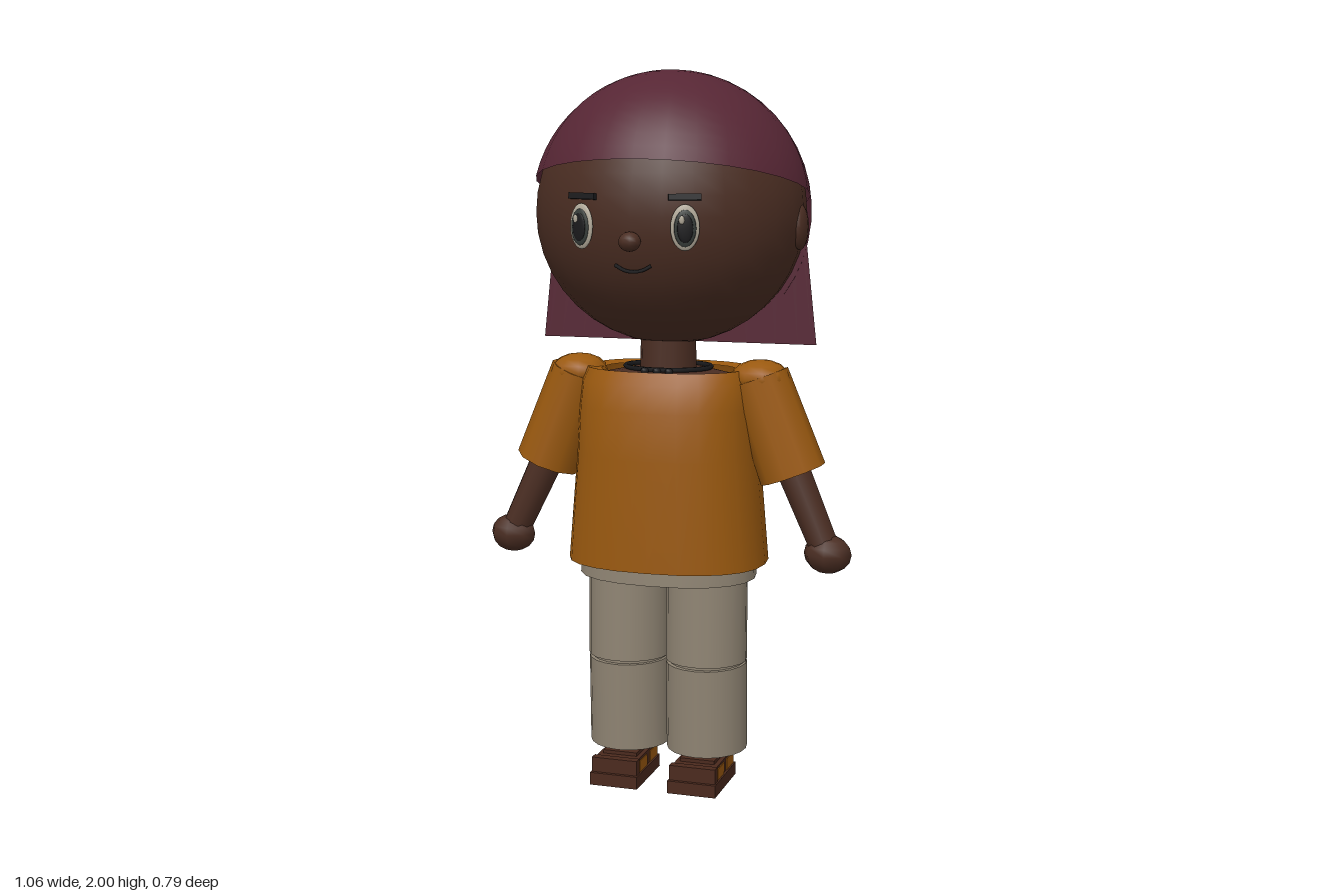
import * as THREE from 'three';
import { toCreasedNormals } from 'three/addons/utils/BufferGeometryUtils.js';

const mat = (name, color, side = THREE.FrontSide) =>
  Object.assign(new THREE.MeshStandardMaterial({ color, side }), { name });

// Rings are [y, radiusX, radiusZ, centreZ]; e squares the outline, maxZ cuts it flat.
function loft(rings, { n = 16, e = 2, maxZ = Infinity, bottom = true, top = true, crease = 0.7 } = {}) {
  const pos = [], idx = [];
  const power = (v) => Math.sign(v) * Math.abs(v) ** (2 / e);
  for (const [y, rx, rz, cz] of rings) {
    for (let j = 0; j < n; j++) {
      const a = (j / n) * Math.PI * 2;
      pos.push(rx * power(Math.cos(a)), y, Math.min(maxZ, cz + rz * power(Math.sin(a))));
    }
  }
  const last = (rings.length - 1) * n;
  const cap = (start, up) => {
    const [y, , , cz] = rings[start / n];
    const c = pos.length / 3;
    pos.push(0, y, Math.min(maxZ, cz));
    for (let j = 0; j < n; j++) {
      const a = start + j, b = start + (j + 1) % n;
      idx.push(c, up ? b : a, up ? a : b);
    }
  };
  for (let i = 0; i < last; i += n) {
    for (let j = 0; j < n; j++) {
      const a = i + j, b = i + (j + 1) % n;
      idx.push(a, a + n, b, b, a + n, b + n);
    }
  }
  if (bottom) cap(0, false);
  if (top) cap(last, true);
  const g = new THREE.BufferGeometry();
  g.setAttribute('position', new THREE.Float32BufferAttribute(pos, 3));
  g.setIndex(idx);
  return toCreasedNormals(g, crease);
}

export function createModel() {
  const model = new THREE.Group();
  const skin = mat('skin', 0x4a2d22);
  const hair = mat('hair', 0x562634, THREE.DoubleSide);
  const shirt = mat('shirt orange', 0x9a590f, THREE.DoubleSide);
  const trousers = mat('trouser beige', 0x8f8473);
  const leather = mat('sandal brown', 0x4a291d);
  const white = mat('eye white', 0xb0a898);
  const iris = mat('iris grey', 0x363c39);
  const black = mat('black', 0x1a1a1c);

  const add = (name, geometry, material, x = 0, y = 0, z = 0, parent = model) => {
    const m = new THREE.Mesh(geometry, material);
    m.name = name;
    m.position.set(x, y, z);
    parent.add(m);
    return m;
  };
  const ball = (rx, ry, rz, w = 16, h = 12) => new THREE.SphereGeometry(1, w, h).scale(rx, ry, rz);
  const box = (w, h, d) => new THREE.BoxGeometry(w, h, d);
  const limb = (name, from, to, r0, r1, sides, material) => {
    const a = new THREE.Vector3(...from), b = new THREE.Vector3(...to);
    const d = b.clone().sub(a);
    const m = add(name, new THREE.CylinderGeometry(r1, r0, d.length(), sides), material);
    m.position.copy(a).addScaledVector(d, 0.5);
    m.quaternion.setFromUnitVectors(new THREE.Vector3(0, 1, 0), d.normalize());
    return m;
  };

  // Head and hair
  add('head', ball(0.377, 0.363, 0.35, 28, 20), skin, 0, 1.613, 0.01);
  add('nose', ball(0.031, 0.026, 0.03, 10, 8), skin, 0, 1.55, 0.365);
  const cap = new THREE.SphereGeometry(1, 28, 14, 0, Math.PI * 2, 0, 1.405);
  add('hairCap', cap.rotateX(-0.226).scale(0.388, 0.385, 0.366), hair, 0, 1.615, 0.008);
  const shell = new THREE.SphereGeometry(1, 14, 16, Math.PI + 0.1, Math.PI - 0.2, 0, 2.2);
  add('hairBack', shell.scale(0.389, 0.385, 0.358), hair, 0, 1.615, 0);
  add('hairCurtain', loft([[1.25, 0.402, 0.395, 0], [1.775, 0.345, 0.338, 0]],
    { n: 24, maxZ: -0.05 }), hair);

  // Mouth
  const smile = new THREE.CatmullRomCurve3([[-0.05, 1.487, 0.336], [-0.025, 1.474, 0.337],
    [0, 1.47, 0.337], [0.025, 1.474, 0.337], [0.05, 1.487, 0.336]].map((p) => new THREE.Vector3(...p)));
  add('mouth', new THREE.TubeGeometry(smile, 12, 0.005, 6), black);

  // Neck, chest and necklace
  add('neck', new THREE.CylinderGeometry(0.075, 0.08, 0.16, 14), skin, 0, 1.24, 0.035);
  add('chest', loft([[1.1, 0.2, 0.14, 0.03], [1.165, 0.195, 0.135, 0.03], [1.185, 0.1, 0.09, 0.035]]), skin);
  const necklace = new THREE.TorusGeometry(0.11, 0.007, 6, 24).rotateX(Math.PI / 2);
  add('necklace', necklace.scale(1.1, 1, 0.9), black, 0, 1.188, 0.035);
  for (const x of [-0.035, 0, 0.035]) {
    add('necklaceBead', ball(0.012, 0.01, 0.012, 8, 6), black, x, 1.185, 0.14);
  }

  // Shirt, hips and waistband
  add('shirtBody', loft([[0.64, 0.282, 0.21, 0.032], [0.95, 0.255, 0.208, 0.032],
    [1.08, 0.248, 0.2, 0.032], [1.15, 0.243, 0.183, 0.03], [1.187, 0.228, 0.163, 0.03],
    [1.18, 0.19, 0.13, 0.03]], { n: 24, e: 2.4, bottom: false, top: false, crease: 0.9 }), shirt);
  add('waistband', loft([[0.597, 0.252, 0.178, 0.033], [0.69, 0.245, 0.175, 0.033]],
    { n: 20, e: 2.3, bottom: false }), trousers).material.side = THREE.DoubleSide;
  add('hips', loft([[0.6, 0.21, 0.14, 0.033], [0.68, 0.23, 0.16, 0.033]]), skin);

  for (const s of [-1, 1]) {
    const side = s > 0 ? 'left' : 'right';

    // Face details set on the curve of the head
    const eye = new THREE.Group();
    eye.name = side + 'Eye';
    eye.position.set(s * 0.142, 1.587, 0.338);
    eye.rotation.y = s * 0.33;
    model.add(eye);
    add('eyeWhite', ball(0.038, 0.06, 0.01), white, 0, 0, 0, eye);
    add('iris', ball(0.029, 0.048, 0.006), iris, 0, -0.002, 0.007, eye);
    add('pupil', ball(0.021, 0.037, 0.004), black, 0, -0.002, 0.011, eye);
    add('eyeHighlight', ball(0.008, 0.011, 0.003, 8, 6), white, -0.009, 0.02, 0.0145, eye);
    const brow = add(side + 'Brow', box(0.085, 0.016, 0.014), black, s * 0.14, 1.665, 0.334);
    brow.rotation.set(-0.15, s * 0.33, s * 0.06);
    add(side + 'Ear', ball(0.022, 0.062, 0.045, 12, 10), skin, s * 0.368, 1.577, 0.015);

    // Arm
    limb(side + 'Sleeve', [s * 0.26, 1.165, 0.033], [s * 0.36, 0.9, 0.033], 0.085, 0.094, 10, shirt);
    add(side + 'Shoulder', ball(0.083, 0.05, 0.083, 10, 8), shirt, s * 0.265, 1.165, 0.033);
    limb(side + 'Forearm', [s * 0.33, 0.98, 0.03], [s * 0.455, 0.705, 0.052], 0.05, 0.042, 10, skin);
    add(side + 'Hand', ball(0.067, 0.054, 0.054, 8, 8), skin, s * 0.465, 0.687, 0.054);

    // Trouser leg in two lengths with a slit at the knee
    const x = s * 0.115;
    limb(side + 'UpperLeg', [x, 0.66, 0.037], [x, 0.358, 0.042], 0.115, 0.115, 20, trousers);
    limb(side + 'LowerLeg', [x, 0.352, 0.04], [x, 0.1, 0.033], 0.115, 0.115, 20, trousers);
    limb(side + 'Knee', [x, 0.4, 0.034], [x, 0.31, 0.034], 0.108, 0.108, 20, trousers);

    // Sandal
    limb(side + 'Ankle', [x, 0.04, 0.04], [x, 0.14, 0.04], 0.055, 0.055, 10, skin);
    add(side + 'Sole', box(0.14, 0.036, 0.21), leather, x, 0.018, 0.084);
    add(side + 'Foot', box(0.126, 0.042, 0.19), leather, x, 0.055, 0.084);
    add(side + 'ToeBand', box(0.134, 0.042, 0.025), leather, x, 0.058, 0.168);
    for (const z of [0.115, 0.02]) {
      add(side + 'Strap', box(0.132, 0.032, 0.065), shirt, x, 0.053, z);
    }
    add(side + 'SandalTop', box(0.1, 0.012, 0.12), leather, x, 0.08, 0.07);
  }
  return model;
}
